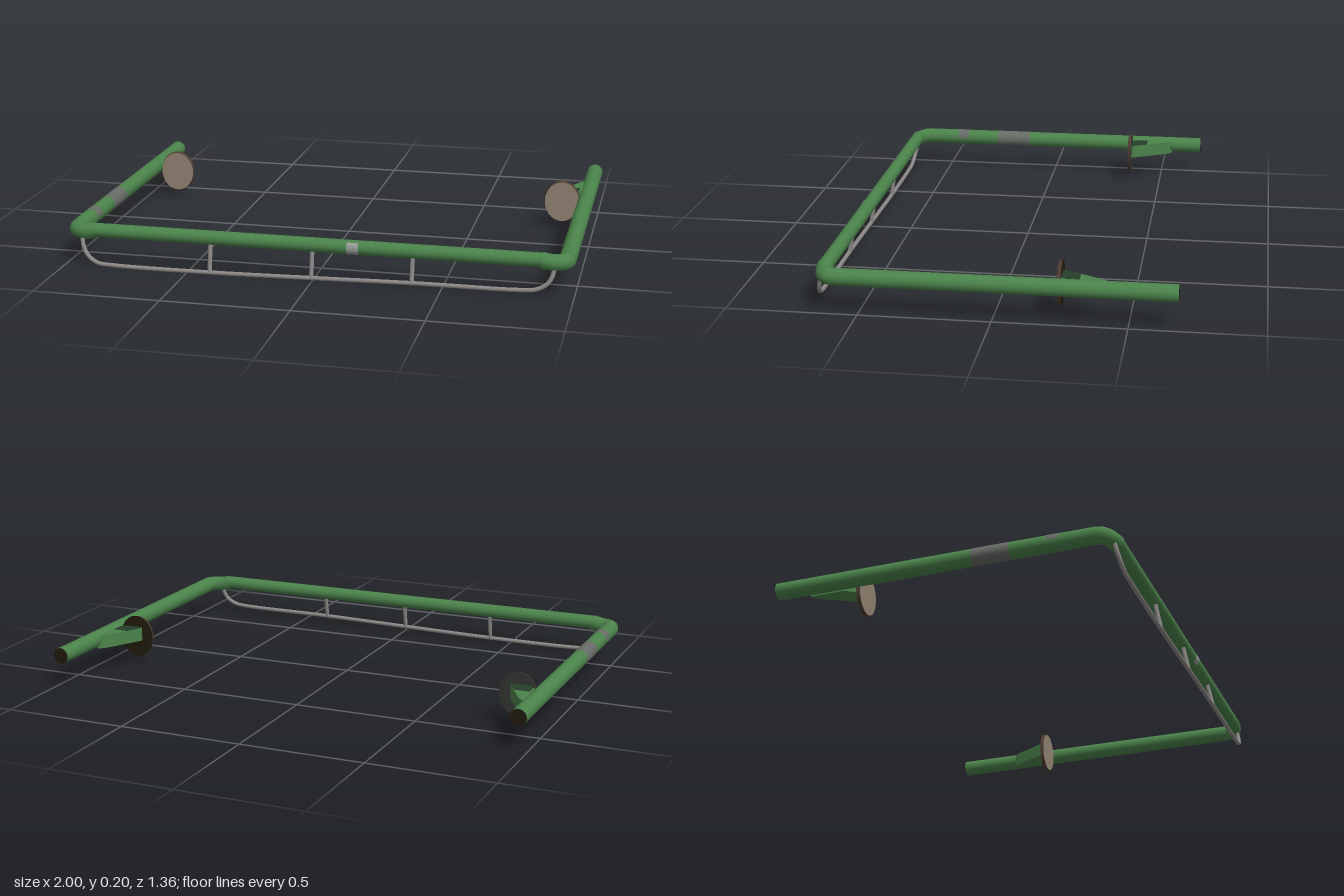
import * as THREE from 'three';

const mat = (name, color) => {
  const m = new THREE.MeshStandardMaterial({ color });
  m.name = name;
  return m;
};

export function createModel() {
  const green = mat('green paint', 0x4b834b);
  const steel = mat('grey steel', 0x8c8787);
  const worn = mat('worn grey', 0x686c66);
  const scuff = mat('pale scuff', 0x979c95);
  const tan = mat('tan pad', 0x928373);
  const rim = mat('brown rim', 0x4e3c30);
  const dark = mat('dark brown', 0x211b0c);
  const charcoal = mat('charcoal', 0x333633);
  const darkGreen = mat('dark green', 0x27402a);

  const model = new THREE.Group();
  const add = (name, geometry, material, parent = model) => {
    const mesh = new THREE.Mesh(geometry, material);
    mesh.name = name;
    parent.add(mesh);
    return mesh;
  };
  const V = (x, y, z) => new THREE.Vector3(x, y, z);
  const tube = (points, radius, steps) => new THREE.TubeGeometry(
    new THREE.CatmullRomCurve3(points, false, 'centripetal'), steps, radius, 16);

  // Front bar
  const bar = new THREE.CylinderGeometry(0.028, 0.028, 1.79, 24).rotateZ(Math.PI / 2);
  add('frontBar', bar, green).position.set(0, 0.147, 0.645);
  const patch = new THREE.CylinderGeometry(0.029, 0.029, 0.045, 16, 1, true, -1, 1.9).rotateZ(Math.PI / 2);
  add('frontBarScuff', patch, scuff).position.set(0.16, 0.147, 0.645);

  // Side arms, elbows, pads and brackets
  for (const s of [-1, 1]) {
    const side = new THREE.Group();
    side.name = s > 0 ? 'leftSide' : 'rightSide';
    model.add(side);

    const arm = new THREE.CylinderGeometry(0.033, 0.033, 1.28, 24).rotateX(Math.PI / 2);
    add('sideArm', arm, [green, green, dark], side).position.set(s * 0.967, 0.139, -0.04);
    add('elbow', tube([
      V(s * 0.967, 0.139, 0.59), V(s * 0.964, 0.139, 0.615), V(s * 0.945, 0.138, 0.632),
      V(s * 0.915, 0.139, 0.641), V(s * 0.875, 0.146, 0.645),
    ], 0.0315, 20), green, side);
    const knuckle = new THREE.SphereGeometry(0.0325, 20, 14);
    add('elbowKnuckle', knuckle, green, side).position.set(s * 0.963, 0.139, 0.612);

    // Oval pad facing forward
    const padZ = s > 0 ? -0.24 : -0.36;
    const pad = new THREE.CylinderGeometry(0.96, 1, 0.014, 40).rotateX(Math.PI / 2).scale(0.075, 0.088, 1);
    add('pad', pad, [rim, tan, s > 0 ? dark : charcoal], side).position.set(s * 0.865, 0.121, padZ);

    // Triangular bracket joining the pad to the arm
    const plan = (pts, depth) => new THREE.ExtrudeGeometry(
      new THREE.Shape(pts.map(([x, z]) => new THREE.Vector2(s * x, -z))),
      { depth, bevelEnabled: false }).rotateX(-Math.PI / 2);
    const bracket = plan([[0.95, -0.19], [0.925, -0.175], [0.905, -0.14], [0.84, -0.02],
      [0.84, -0.003], [0.915, -0.003], [0.95, -0.05]], 0.055);
    add('bracket', bracket, green, side).position.set(0, 0.105, padZ);
    const shade = plan([[0.872, -0.076], [0.842, -0.021], [0.842, -0.004],
      [0.913, -0.004], [0.932, -0.03], [0.932, -0.076]], 0.003);
    add('bracketPlate', shade, darkGreen, side).position.set(0, 0.159, padZ);
  }

  // Worn bands on the right arm
  for (const [z, length, start, span] of [[0.195, 0.15, 0, Math.PI * 2], [0.435, 0.05, Math.PI / 2, Math.PI]]) {
    const band = new THREE.CylinderGeometry(0.0338, 0.0338, length, 24, 1, true, start, span).rotateX(Math.PI / 2);
    add('wornBand', band, worn).position.set(-0.967, 0.139, z);
  }

  // Thin lower rail curling up to the elbows
  add('lowerRail', tube([
    V(-0.93, 0.125, 0.65), V(-0.925, 0.085, 0.66), V(-0.905, 0.048, 0.667), V(-0.865, 0.021, 0.672),
    V(-0.8, 0.015, 0.673), V(-0.4, 0.014, 0.673), V(0, 0.021, 0.673), V(0.4, 0.029, 0.672),
    V(0.8, 0.032, 0.671), V(0.86, 0.038, 0.67), V(0.9, 0.06, 0.665), V(0.918, 0.09, 0.659), V(0.925, 0.125, 0.65),
  ], 0.0085, 120), steel);

  // Struts between rail and bar
  for (const [x, y] of [[-0.405, 0.014], [0, 0.021], [0.39, 0.029]]) {
    add('strut', tube([V(x, y, 0.673), V(x, 0.13, 0.652)], 0.0085, 2), steel);
  }
  return model;
}
